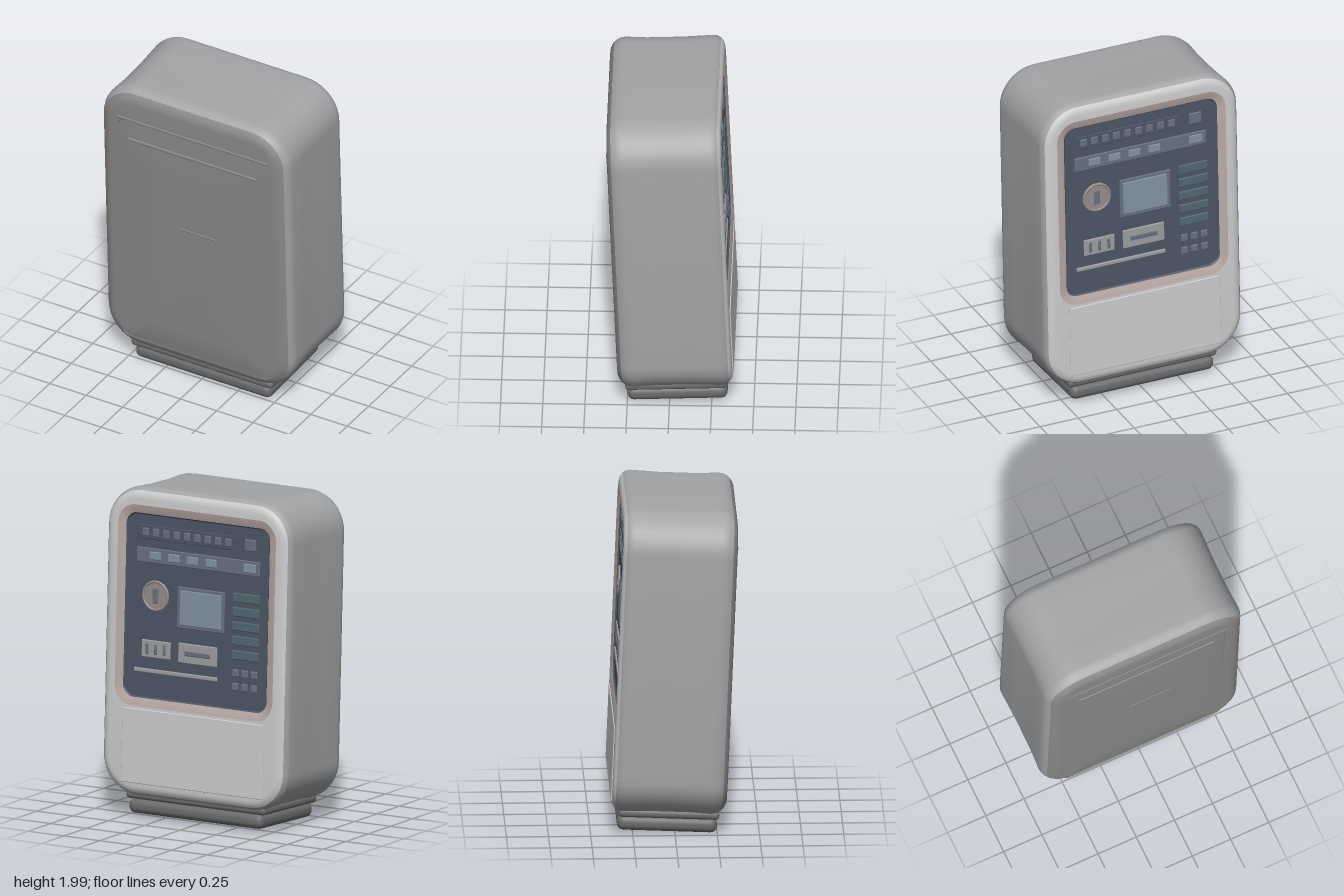
import * as THREE from 'three';
import { toCreasedNormals } from 'three/addons/utils/BufferGeometryUtils.js';
import { RoundedBoxGeometry } from 'three/addons/geometries/RoundedBoxGeometry.js';

const mat = (color) => new THREE.MeshStandardMaterial({ color });
const grey = mat(0xcccccc);
const sideGrey = mat(0xa2a4a6);
const frontGrey = mat(0x8b8987);
const footGrey = mat(0x6a6a6a);
const rimTint = mat(0xb8a8a4);
const slate = mat(0x4a5563);
const slateLight = mat(0x667080);
const blue = mat(0x80929f);
const teal = mat(0x50666f);
const bronze = mat(0x958c88);
const pale = mat(0x9a9c9e);

const CORNER = 10;

// Rounded rectangle in the xy plane, anticlockwise from +z
function ringPoints({ w, y0, y1, r, z }) {
  const pts = [];
  const corners = [[1, y1, -1], [-1, y1, -1], [-1, y0, 1], [1, y0, 1]];
  corners.forEach(([sx, y, dy], k) => {
    for (let i = 0; i <= CORNER; i++) {
      const a = (k + i / CORNER) * Math.PI / 2;
      pts.push([sx * (w / 2 - r) + r * Math.cos(a), y + dy * r + r * Math.sin(a), z]);
    }
  });
  return pts;
}

// Skin a list of rings running from the back to the front
function loft(rings, capStart = false, capEnd = false) {
  const n = 4 * (CORNER + 1);
  const pos = [];
  const index = [];
  rings.forEach((ring) => ringPoints(ring).forEach((p) => pos.push(...p)));
  for (let k = 0; k < rings.length - 1; k++) {
    for (let i = 0; i < n; i++) {
      const a = k * n + i, b = k * n + (i + 1) % n;
      index.push(a, b, b + n, a, b + n, a + n);
    }
  }
  const cap = (ring, base, flip) => {
    const c = pos.length / 3;
    pos.push(0, (ring.y0 + ring.y1) / 2, ring.z);
    for (let i = 0; i < n; i++) {
      const a = base + i, b = base + (i + 1) % n;
      index.push(c, flip ? b : a, flip ? a : b);
    }
  };
  if (capStart) cap(rings[0], 0, true);
  if (capEnd) cap(rings[rings.length - 1], (rings.length - 1) * n, false);
  const g = new THREE.BufferGeometry();
  g.setAttribute('position', new THREE.Float32BufferAttribute(pos, 3));
  g.setIndex(index);
  return toCreasedNormals(g, 0.45);
}

export function createModel() {
  const model = new THREE.Group();
  model.name = 'kiosk';

  // Whole cabinet leans slightly forward about its centre
  const lean = new THREE.Group();
  lean.name = 'leaningCabinet';
  lean.rotation.x = 0.042;
  lean.position.y = 1;
  model.add(lean);
  const cabinet = new THREE.Group();
  cabinet.name = 'cabinet';
  cabinet.position.y = -1;
  lean.add(cabinet);

  const add = (name, geometry, material, x = 0, y = 0, z = 0, parent = cabinet) => {
    const m = new THREE.Mesh(geometry, material);
    m.name = name;
    m.position.set(x, y, z);
    parent.add(m);
    return m;
  };
  const box = (w, h, d, r = 0.01) => new RoundedBoxGeometry(w, h, d, 3, Math.min(r, w / 2.1, h / 2.1, d / 2.1));

  // Ring families: cabinet outline, display opening, front panel
  const outer = (inset, z) => ({ w: 1.285 - 2 * inset, y0: 0.125 + inset, y1: 1.985 - inset, r: 0.24 - inset, z });
  const hole = (grow, z) => ({ w: 1.0 + 2 * grow, y0: 0.72 - grow, y1: 1.83 + grow, r: 0.07 + grow, z });
  const panel = (inset, z) => ({ w: 1.02 - 2 * inset, y0: 0.2 + inset, y1: 1.77 - inset, r: 0.05, z });
  const BACK = -0.342, FRONT = 0.338, RB = 0.065, RF = 0.09;
  const backRings = [hole(0.05, BACK)];
  const frontRings = [];
  for (let i = 0; i <= 6; i++) {
    const s = Math.sin(i / 6 * Math.PI / 2), c = Math.cos(i / 6 * Math.PI / 2);
    backRings.push(outer(RB * (1 - s), BACK + RB * (1 - c)));
    frontRings.push(outer(RF * (1 - c), FRONT - RF * (1 - s)));
  }
  add('backFrame', loft(backRings.slice(0, 5)), grey);
  // Side walls are very slightly waisted
  const waist = [outer(0.007, -0.1), outer(0.007, 0.12)];
  add('sideWalls', loft([...backRings.slice(4), ...waist, ...frontRings.slice(0, 4)]), sideGrey);
  // Front face with a shallow, gently domed panel
  const panelRings = [panel(0, FRONT), panel(0.003, FRONT - 0.007), panel(0.15, FRONT + 0.001), panel(0.32, FRONT + 0.005)];
  add('frontFace', loft([...frontRings.slice(3), ...panelRings], false, true), frontGrey);

  // Sloped surround and sunken display on the back
  const zScreen = BACK + 0.024;
  add('displaySurround', loft([hole(0, BACK + 0.014), hole(0.025, BACK + 0.005), hole(0.05, BACK)]), rimTint);
  add('displayRecess', loft([hole(-0.008, zScreen), hole(0, BACK + 0.014)], true), slate);

  // Display items: u runs from +x to -x, v runs down from the top
  const display = new THREE.Group();
  display.name = 'displayItems';
  cabinet.add(display);
  const place = (u, v) => [0.5 - u, 1.83 - 1.11 * v];
  const tile = (name, u, v, w, h, d, material) =>
    add(name, box(w, h, d * 2, 0.006), material, ...place(u, v), zScreen, display);

  tile('topStrip', 0.42, 0.1, 0.68, 0.085, 0.004, slate);
  for (let i = 0; i < 9; i++) tile('topKey', 0.13 + i * 0.072, 0.1, 0.045, 0.05, 0.009, slateLight);
  tile('cornerKey', 0.86, 0.1, 0.08, 0.07, 0.009, slateLight);
  tile('headerBar', 0.5, 0.225, 0.86, 0.09, 0.006, slateLight);
  for (let i = 0; i < 4; i++) tile('headerKey', 0.2 + i * 0.13, 0.225, 0.08, 0.05, 0.01, blue);
  tile('headerEndKey', 0.86, 0.225, 0.09, 0.055, 0.01, blue);

  // Round dial with a raised rim and a small bar
  const [dialX, dialY] = place(0.21, 0.44);
  const dial = add('dial', new THREE.CylinderGeometry(0.088, 0.095, 0.016, 32), bronze, dialX, dialY, zScreen, display);
  dial.rotation.x = -Math.PI / 2;
  add('dialRim', new THREE.TorusGeometry(0.085, 0.008, 8, 32), bronze, dialX, dialY, zScreen - 0.006, display);
  add('dialBar', box(0.04, 0.09, 0.012), slateLight, dialX, dialY, zScreen - 0.007, display);

  tile('windowFrame', 0.525, 0.485, 0.33, 0.25, 0.007, slateLight);
  tile('windowPane', 0.525, 0.485, 0.29, 0.21, 0.011, blue);
  for (let i = 0; i < 5; i++) tile('sideButton', 0.84, 0.39 + i * 0.078, 0.19, 0.055, 0.01, teal);
  for (let row = 0; row < 2; row++) {
    for (let i = 0; i < 3; i++) tile('lowerKey', 0.775 + i * 0.065, 0.8 + row * 0.075, 0.045, 0.045, 0.008, slateLight);
  }
  tile('smallTile', 0.22, 0.73, 0.2, 0.105, 0.008, pale);
  for (let i = 0; i < 3; i++) tile('smallTileRib', 0.16 + i * 0.06, 0.73, 0.02, 0.065, 0.012, slateLight);
  tile('wideTile', 0.51, 0.73, 0.27, 0.12, 0.008, pale);
  tile('wideTileRib', 0.51, 0.73, 0.18, 0.03, 0.012, slateLight);
  tile('slotStrip', 0.36, 0.85, 0.58, 0.025, 0.01, pale);

  // Lower service panel on the back
  add('lowerBackPanel', box(0.98, 0.45, 0.012, 0.005), grey, 0, 0.43, BACK);

  // Front trim lines and central crease
  add('frontTopLip', box(1.04, 0.022, 0.016), frontGrey, 0, 1.78, FRONT - 0.004);
  add('frontUpperRidge', box(0.88, 0.022, 0.016), frontGrey, 0, 1.64, FRONT - 0.003);
  add('frontCrease', box(0.27, 0.014, 0.012, 0.005), frontGrey, 0.03, 1.105, FRONT + 0.002);

  // Neck and rounded foot
  add('neck', box(0.9, 0.12, 0.55, 0.03), footGrey, 0, 0.12, 0);
  add('neckCollar', box(0.97, 0.05, 0.6, 0.022), footGrey, 0, 0.125, 0);
  add('foot', box(0.935, 0.09, 0.595, 0.04), footGrey, 0, 0.058, -0.007);

  return model;
}
